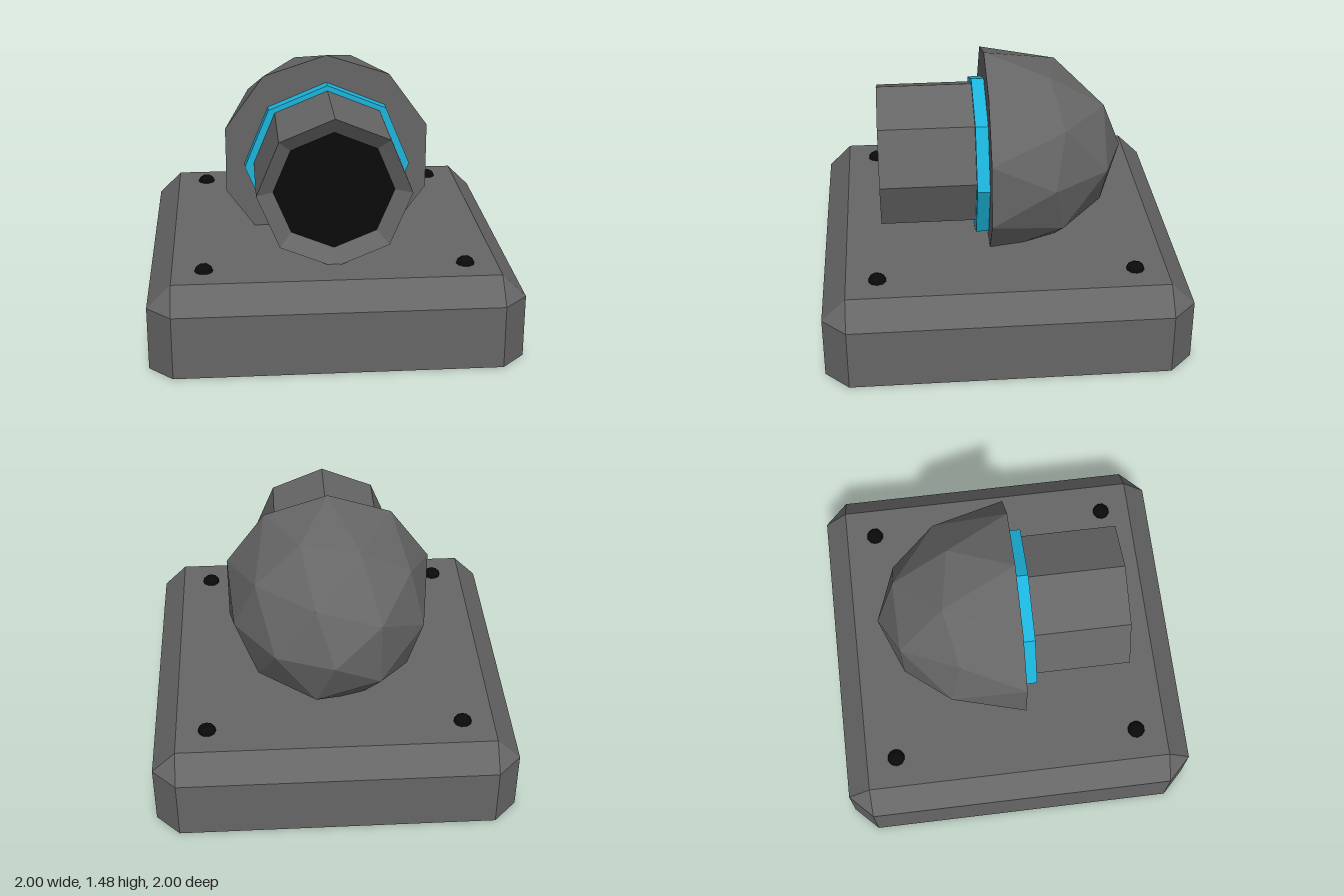
import * as THREE from 'three';

const paint = (color) => new THREE.MeshStandardMaterial({ color, flatShading: true, side: THREE.DoubleSide });

function add(parent, name, geometry, material) {
  const mesh = new THREE.Mesh(geometry, material);
  mesh.name = name;
  parent.add(mesh);
  return mesh;
}

// Upper half of a once-subdivided icosahedron, pole along +y
function halfIcosphere(radius, height) {
  const full = new THREE.IcosahedronGeometry(1, 1);
  full.rotateX(-Math.atan((1 + Math.sqrt(5)) / 2));
  const p = full.attributes.position;
  const kept = [];
  for (let i = 0; i < p.count; i += 3) {
    if (p.getY(i) + p.getY(i + 1) + p.getY(i + 2) < 0.01) continue;
    for (let j = i; j < i + 3; j++) kept.push(p.getX(j), p.getY(j), p.getZ(j));
  }
  const dome = new THREE.BufferGeometry();
  dome.setAttribute('position', new THREE.Float32BufferAttribute(kept, 3));
  dome.scale(radius, height, radius);
  dome.computeVertexNormals();
  return dome;
}

// Square plinth shell with bevelled corners and top edges, open underneath
function plinthGeometry() {
  const inner = 0.87, low = 0.347, top = 0.475;
  const ring = (y, a) => [
    [a, y, inner], [a, y, -inner], [inner, y, -a], [-inner, y, -a],
    [-a, y, -inner], [-a, y, inner], [-inner, y, a], [inner, y, a],
  ];
  const rings = [ring(0, 1), ring(low, 1), ring(top, inner)];
  const pos = [];
  const tri = (...corners) => corners.forEach((c) => pos.push(...c));
  for (let r = 0; r < 2; r++) {
    for (let i = 0; i < 8; i++) {
      const j = (i + 1) % 8;
      const [a, b, c, d] = [rings[r][i], rings[r][j], rings[r + 1][j], rings[r + 1][i]];
      tri(a, b, d);
      // bevel corners close to a single triangle
      if (r === 0 || i % 2 === 0) tri(b, c, d);
    }
  }
  const t = rings[2];
  tri(t[0], t[2], t[4]);
  tri(t[0], t[4], t[6]);
  const geometry = new THREE.BufferGeometry();
  geometry.setAttribute('position', new THREE.Float32BufferAttribute(pos, 3));
  geometry.computeVertexNormals();
  return geometry;
}

export function createModel() {
  const model = new THREE.Group();
  const grey = paint(0x666666);
  const black = paint(0x0a0a0a);
  const cyan = paint(0x1cb4dc);

  add(model, 'base', plinthGeometry(), grey);

  // Bolts in the four corners of the base
  for (const x of [-0.7, 0.7]) {
    for (const z of [-0.7, 0.7]) {
      add(model, 'bolt', halfIcosphere(0.05, 0.042), black).position.set(x, 0.474, z);
    }
  }

  // Rounded housing bulging to the back, with a flat front
  const head = new THREE.Group();
  head.name = 'head';
  head.position.y = 0.875;
  model.add(head);

  const dome = halfIcosphere(0.6, 0.78);
  dome.applyMatrix4(new THREE.Matrix4().makeBasis(
    new THREE.Vector3(0, -1, 0), new THREE.Vector3(0, 0, -1), new THREE.Vector3(1, 0, 0)));
  add(head, 'housing', dome, grey).position.z = 0.07;
  add(head, 'housingFront', new THREE.CircleGeometry(0.6, 10, Math.PI / 10), grey).position.z = 0.07;

  // Coloured collar, slightly below the barrel axis
  const collar = new THREE.CylinderGeometry(0.465, 0.465, 0.07, 8).rotateX(Math.PI / 2);
  add(head, 'collar', collar, cyan).position.set(0, -0.02, 0.106);

  // Barrel with a sloped rim and a dark lens set into it
  const profile = [[0.415, 0.13], [0.415, 0.67], [0.325, 0.61]].map(([r, z]) => new THREE.Vector2(r, z));
  add(head, 'barrel', new THREE.LatheGeometry(profile, 8).rotateX(Math.PI / 2), grey);
  add(head, 'lens', new THREE.CircleGeometry(0.325, 8), black).position.z = 0.61;

  return model;
}
